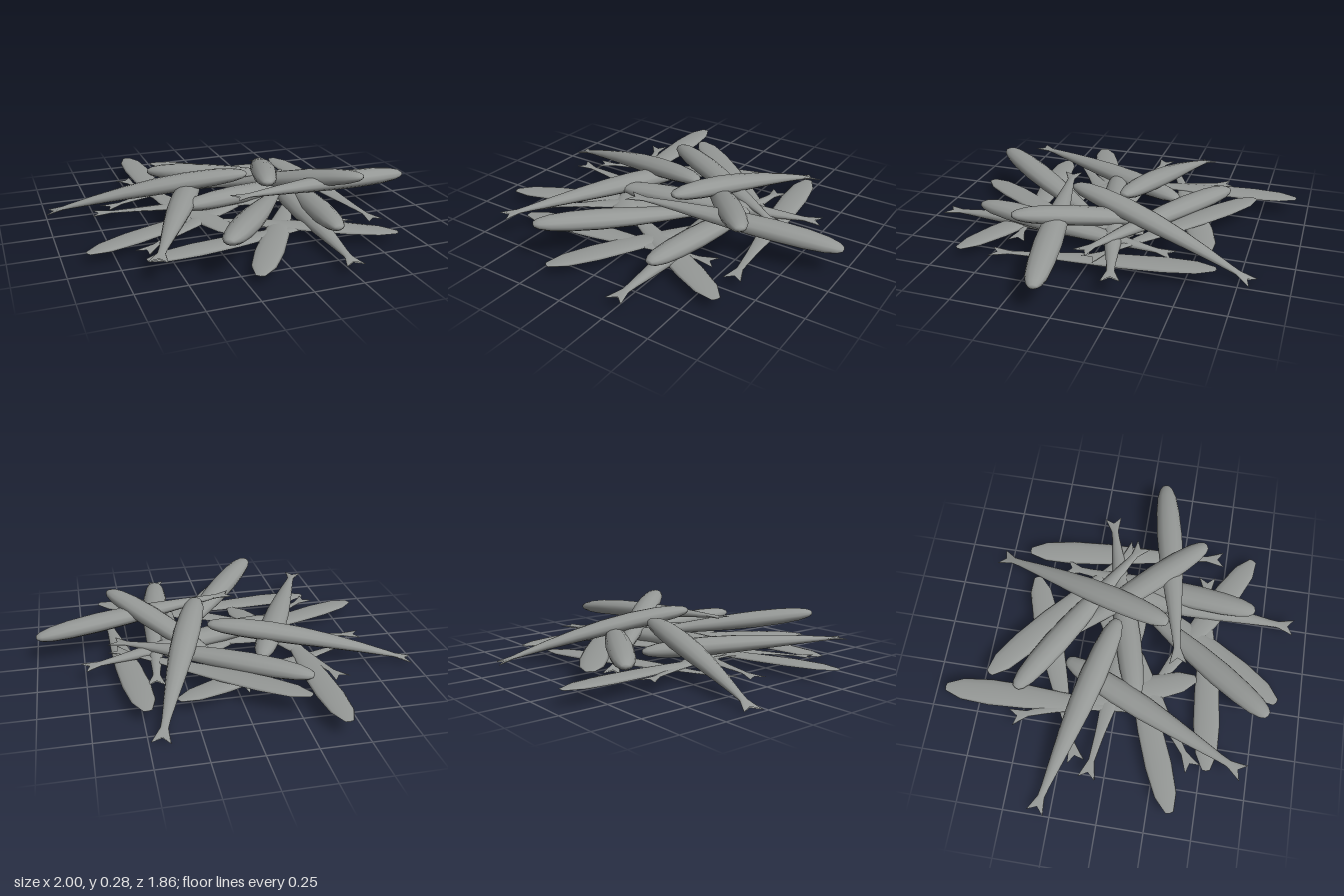
import * as THREE from 'three';

const fishGrey = new THREE.MeshStandardMaterial({ color: 0x959896, side: THREE.DoubleSide });

// body stations: [position along the fish from nose to tail, half width, half height]
const STATIONS = [
  [0, 0.022, 0.012], [0.02, 0.038, 0.024], [0.07, 0.055, 0.036], [0.16, 0.066, 0.045],
  [0.3, 0.072, 0.048], [0.45, 0.067, 0.044], [0.6, 0.053, 0.035], [0.75, 0.036, 0.024],
  [0.87, 0.022, 0.014], [0.92, 0.02, 0.009], [1, 0.048, 0.003],
];
// thin fish have a more angular outline
const THIN_STATIONS = [
  [0, 0.022, 0.006], [0.08, 0.059, 0.032], [0.22, 0.072, 0.046], [0.4, 0.067, 0.044],
  [0.6, 0.048, 0.034], [0.78, 0.026, 0.02], [0.91, 0.017, 0.009], [1, 0.047, 0.003],
];
const SIDES = 12;

// fish lofted from oval rings, nose towards +z, lying on its side;
// back and belly scale the height above and below the middle, bow arches the body
function fishGeometry(stations, length, back, belly, bow) {
  const pos = [], index = [];
  stations.forEach(([t, w, h], r) => {
    for (let i = 0; i < SIDES; i++) {
      const a = (i / SIDES) * Math.PI * 2, s = Math.sin(a);
      // the last ring is pulled in at the middle to fork the tail
      const notch = r === stations.length - 1 ? (1 - Math.abs(Math.cos(a))) * 0.035 : 0;
      pos.push(
        w * Math.cos(a),
        h * s * (s > 0 ? back : belly) + bow * 4 * t * (1 - t),
        length * (0.5 - t) + notch,
      );
      if (r > 0) {
        const j = (i + 1) % SIDES, p = (r - 1) * SIDES, q = r * SIDES;
        index.push(p + i, q + i, p + j, p + j, q + i, q + j);
      }
    }
  });
  // nose cap
  const tip = pos.length / 3;
  pos.push(0, 0, length / 2 + 0.006);
  for (let i = 0; i < SIDES; i++) index.push(tip, i, (i + 1) % SIDES);
  const g = new THREE.BufferGeometry();
  g.setAttribute('position', new THREE.Float32BufferAttribute(pos, 3));
  g.setIndex(index);
  g.computeVertexNormals();
  return g;
}

// put a fish between its nose and tail points
function placeFish(name, makeGeometry, nose, tail) {
  const a = new THREE.Vector3(...nose), b = new THREE.Vector3(...tail);
  const mesh = new THREE.Mesh(makeGeometry(a.distanceTo(b)), fishGrey);
  mesh.name = name;
  mesh.position.copy(a).add(b).multiplyScalar(0.5);
  mesh.lookAt(a);
  return mesh;
}

export function createModel() {
  const pile = new THREE.Group();
  pile.name = 'fishPile';

  // rounded fish on top: nose, tail, upward bow of the back
  const round = [
    [[0.99, 0.155, 0.08], [-0.12, 0.22, 0.3], 0.01],
    [[0.58, 0.27, 0.36], [-0.09, 0.015, -0.45], 0.02],
    [[0.1, 0.245, 0.21], [0.445, 0.02, -0.82], 0.03],
    [[-0.36, 0.125, -0.55], [0.6, 0.13, 0.01], 0.01],
    [[0.08, 0.215, -0.06], [-0.99, 0.025, -0.33], 0.025],
    [[-0.325, 0.22, 0.8], [0.32, 0.1, -0.09], 0],
    [[-0.16, 0.12, -0.3], [-0.63, 0.135, 0.72], 0.01],
    [[-0.32, 0.13, 0.1], [0.76, 0.1, -0.2], 0],
    [[0.28, 0.15, 0.68], [0.41, 0.085, -0.42], 0],
    [[0.3, 0.11, -0.18], [0.25, 0.065, 0.92], 0],
  ];
  for (const [nose, tail, bow] of round) {
    pile.add(placeFish('roundFish', (l) => fishGeometry(STATIONS, l, 1, 1, bow), nose, tail));
  }

  // thin fish underneath, gently domed above and nearly flat below
  const thin = [
    [[-0.41, 0.095, -0.93], [-0.37, 0.08, 0.18]],
    [[-0.3, 0.115, -0.71], [0.6, 0.1, -0.03]],
    [[0.48, 0.085, -0.64], [0.61, 0.065, 0.48]],
    [[0.32, 0.08, -0.57], [-0.7, 0.075, -0.16]],
    [[-0.88, 0.065, 0.37], [0.17, 0.075, -0.05]],
    [[-0.63, 0.06, 0.53], [0.48, 0.07, 0.4]],
    [[0.63, 0.065, 0.65], [-0.37, 0.075, 0.11]],
    [[-0.2, 0.062, 0.86], [0.4, 0.075, -0.11]],
    [[0.33, 0.085, 0.05], [-0.78, 0.08, -0.09]],
    [[-0.14, 0.072, 0.41], [-0.52, 0.09, -0.55]],
    [[0.25, 0.085, -0.2], [-0.64, 0.07, 0.46]],
  ];
  for (const [nose, tail] of thin) {
    pile.add(placeFish('thinFish', (l) => fishGeometry(THIN_STATIONS, l, 0.4, 0.08, 0), nose, tail));
  }

  return pile;
}
